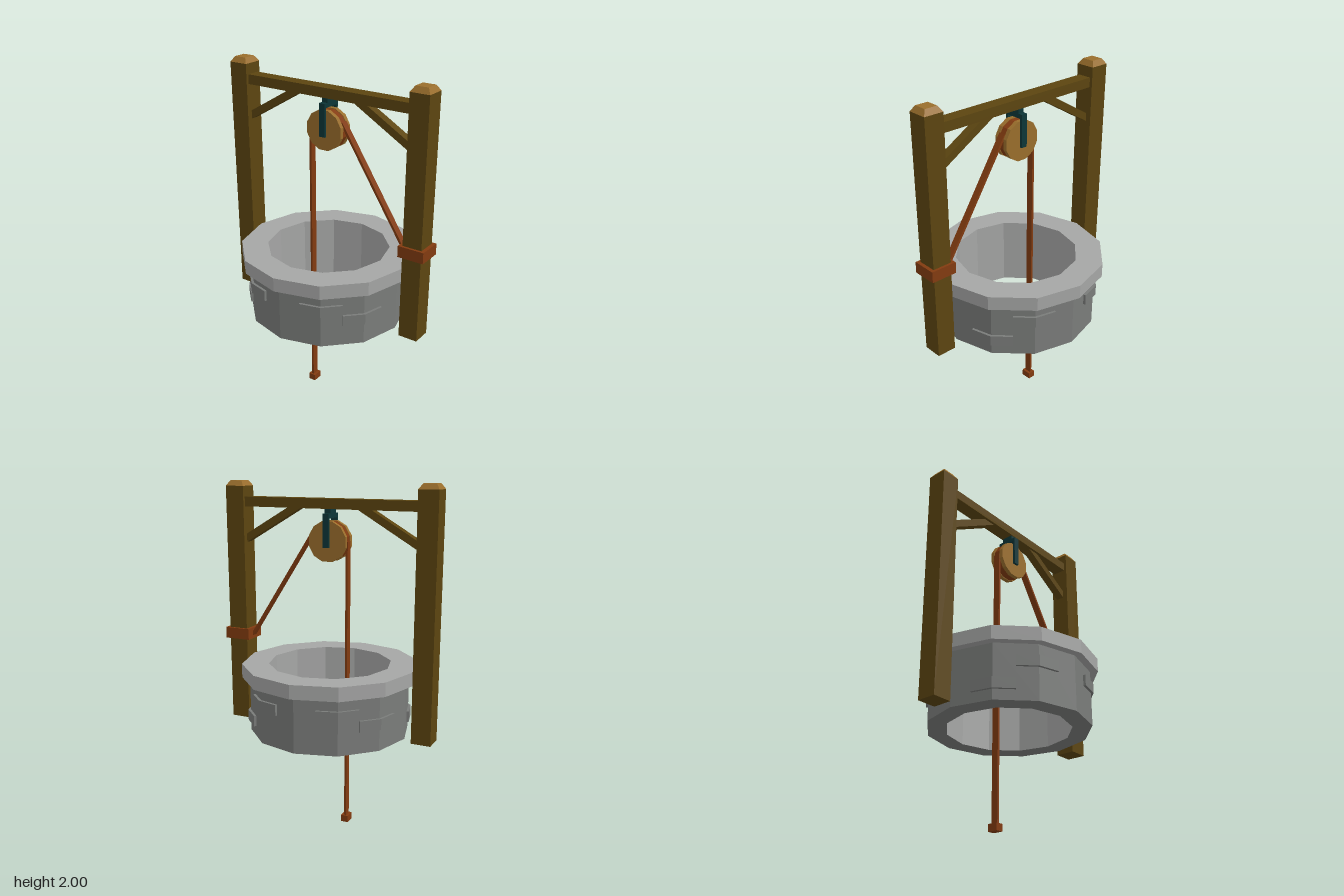
import * as THREE from 'three';

const material = (name, color) => {
  const m = new THREE.MeshStandardMaterial({ color });
  m.name = name;
  return m;
};

export function createModel() {
  const wood = material('dark wood', 0x5c4510);
  const endGrain = material('light wood', 0x9a6e2c);
  const stone = material('stone', 0x7a7c7a);
  const paleStone = material('pale stone', 0xa5a6a5);
  const ropeBrown = material('rope', 0x823b10);
  const iron = material('iron', 0x0d3638);

  const model = new THREE.Group();
  const CX = -0.0125; // shared centre of well, pulley and frame

  // Faceted mesh: every face keeps its own normal
  const add = (name, geometry, mat, x = 0, y = 0, z = 0) => {
    const flat = geometry.index ? geometry.toNonIndexed() : geometry;
    flat.computeVertexNormals();
    const mesh = new THREE.Mesh(flat, mat);
    mesh.name = name;
    mesh.position.set(x, y, z);
    model.add(mesh);
    return mesh;
  };
  const box = (name, mat, w, h, d, x, y, z = 0) =>
    add(name, new THREE.BoxGeometry(w, h, d), mat, x, y, z);
  const ring = (name, mat, profile) =>
    add(name, new THREE.LatheGeometry(profile.map(([r, y]) => new THREE.Vector2(r, y)), 12), mat, CX);
  const extrude = (points, depth) =>
    new THREE.ExtrudeGeometry(new THREE.Shape(points.map(([x, y]) => new THREE.Vector2(x, y))),
      { depth, bevelEnabled: false });

  // Well wall, rim and pale lining
  ring('wellWall', stone, [[0.355, 0.58], [0.465, 0.58], [0.465, 0.9]]);
  ring('wellRim', paleStone, [[0.465, 0.9], [0.51, 0.9], [0.51, 0.98], [0.355, 0.98]]);
  ring('wellLining', paleStone, [[0.355, 0.98], [0.355, 0.58]]);

  // Raised stones, each bent round one corner of the wall (angle from +z towards +x)
  const raisedStones = [[-30, 0.77], [30, 0.77], [60, 0.705], [-60, 0.64]];
  for (const turn of [0, 180]) {
    for (const [angle, y] of raisedStones) {
      const at = (r, offset) => {
        const a = THREE.MathUtils.degToRad(angle + turn + offset);
        return [r * Math.sin(a), -r * Math.cos(a)];
      };
      const outline = [at(0.463, -15), at(0.48, 0), at(0.463, 15),
        at(0.43, 15), at(0.445, 0), at(0.43, -15)];
      add('raisedStone', extrude(outline, 0.063).rotateX(-Math.PI / 2), stone, CX, y);
    }
  }

  // Posts with tapered caps, and diagonal braces
  for (const side of [-1, 1]) {
    const x = CX + side * 0.58;
    box('post', wood, 0.114, 1.39, 0.114, x, 1.275);
    const cap = new THREE.CylinderGeometry(0.037 * Math.SQRT2, 0.057 * Math.SQRT2, 0.03, 4, 1)
      .rotateY(Math.PI / 4);
    add('postCap', cap, endGrain, x, 1.985);
    const brace = [[0.525, 1.65], [0.525, 1.698], [0.25, 1.858], [0.168, 1.858]]
      .map(([px, py]) => [side * px, py]);
    add('brace', extrude(brace, 0.05), wood, CX, 0, -0.025);
  }
  box('crossbeam', wood, 1.05, 0.055, 0.08, CX, 1.8825);

  // Pulley: two cheeks with rope wound between them
  const disc = (name, mat, r, depth, z) =>
    add(name, new THREE.CylinderGeometry(r, r, depth, 12).rotateY(Math.PI / 12).rotateX(Math.PI / 2),
      mat, CX, 1.678, z);
  for (const side of [-1, 1]) disc('pulleyCheek', endGrain, 0.115, 0.025, side * 0.0325);
  disc('woundRope', ropeBrown, 0.111, 0.04, 0);

  // Iron hanger
  for (const side of [-1, 1]) box('hangerPlate', iron, 0.036, 0.185, 0.014, CX, 1.7375, side * 0.055);
  box('hangerBridge', iron, 0.036, 0.025, 0.124, CX, 1.8175);
  box('hangerMount', iron, 0.036, 0.03, 0.07, CX, 1.842);

  // Hanging rope, end knot, and the line tied off on the post
  box('hangingRope', ropeBrown, 0.013, 1.65, 0.04, -0.121, 0.855);
  box('ropeKnot', ropeBrown, 0.044, 0.04, 0.06, -0.121, 0.02);
  const from = new THREE.Vector2(0.085, 1.73), to = new THREE.Vector2(0.51, 1.075);
  const line = to.clone().sub(from);
  const tied = box('tiedRope', ropeBrown, line.length(), 0.014, 0.04,
    (from.x + to.x) / 2, (from.y + to.y) / 2);
  tied.rotation.z = line.angle();
  box('ropeBinding', ropeBrown, 0.155, 0.065, 0.145, CX + 0.58, 1.107);

  return model;
}
